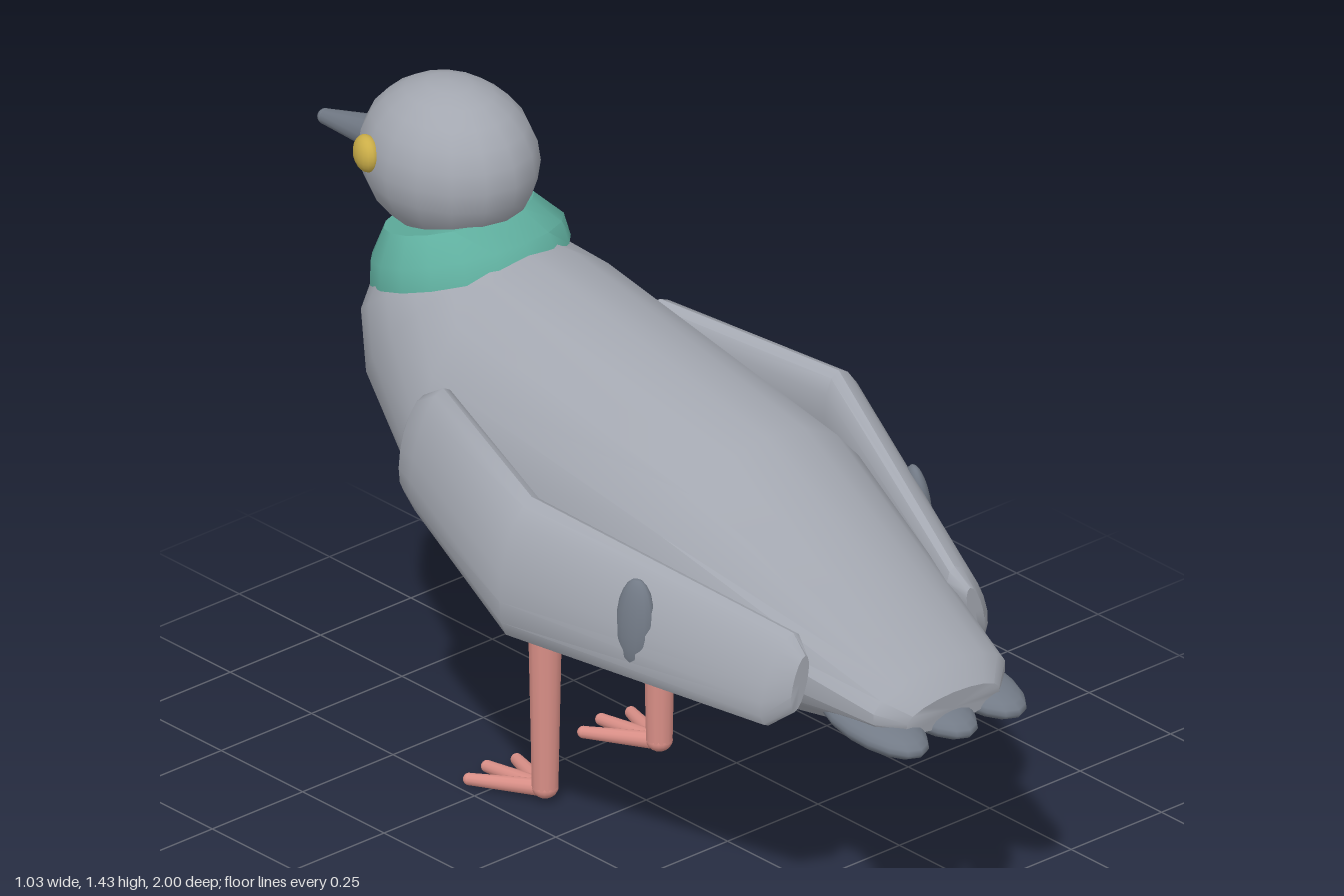
import * as THREE from 'three';
import { toCreasedNormals } from 'three/addons/utils/BufferGeometryUtils.js';

const V = (x, y, z) => new THREE.Vector3(x, y, z);

function material(name, color) {
  const m = new THREE.MeshStandardMaterial({ color });
  m.name = name;
  return m;
}

// Capped loft through elliptical rings { c: centre, u: half height, w: half width }
function loft(rings, sides = 16) {
  const pos = [], idx = [];
  for (const { c, u, w } of rings) {
    for (let j = 0; j < sides; j++) {
      const a = (j / sides) * Math.PI * 2;
      const p = c.clone().addScaledVector(u, Math.cos(a)).addScaledVector(w, Math.sin(a));
      pos.push(p.x, p.y, p.z);
    }
  }
  const last = (rings.length - 1) * sides, start = rings.length * sides, end = start + 1;
  for (const r of [rings[0], rings[rings.length - 1]]) pos.push(r.c.x, r.c.y, r.c.z);
  for (let j = 0; j < sides; j++) {
    const k = (j + 1) % sides;
    for (let i = 0; i < last; i += sides) {
      idx.push(i + j, i + k, i + sides + j, i + k, i + sides + k, i + sides + j);
    }
    idx.push(start, k, j, end, last + j, last + k);
  }
  const g = new THREE.BufferGeometry();
  g.setAttribute('position', new THREE.Float32BufferAttribute(pos, 3));
  g.setIndex(idx);
  return toCreasedNormals(g, 0.75);
}

// Ring on the centre plane: upper point, lower point, half width
const ring = ([tz, ty, bz, by, w]) => ({
  c: V(0, (ty + by) / 2, (tz + bz) / 2),
  u: V(0, (ty - by) / 2, (tz - bz) / 2),
  w: V(w, 0, 0),
});

export function createModel() {
  const model = new THREE.Group();
  model.name = 'bird';
  const grey = material('feather grey', 0xa3a7b0);
  const dark = material('slate grey', 0x727a86);
  const teal = material('neck teal', 0x5fae9e);
  const pink = material('leg pink', 0xd98f87);
  const yellow = material('eye yellow', 0xcbae48);

  const add = (name, geometry, mat, parent = model) => {
    const m = new THREE.Mesh(geometry, mat);
    m.name = name;
    parent.add(m);
    return m;
  };
  const ellipsoid = (name, mat, p, s, parent) => {
    const m = add(name, new THREE.SphereGeometry(1, 16, 12), mat, parent);
    m.position.set(...p);
    m.scale.set(...s);
    return m;
  };
  // Tapered round rod between two points
  const rod = (name, mat, a, b, ra, rb, parent) => {
    const m = add(name, new THREE.CylinderGeometry(rb, ra, a.distanceTo(b), 12), mat, parent);
    m.position.copy(a).lerp(b, 0.5);
    m.quaternion.setFromUnitVectors(V(0, 1, 0), b.clone().sub(a).normalize());
    return m;
  };

  // Body from tail to neck
  add('body', loft([
    [0.945, 0.61, 0.94, 0.535, 0.13],
    [0.9, 0.66, 0.9, 0.523, 0.185],
    [0.37, 0.98, 0.29, 0.405, 0.315],
    [-0.35, 1.12, -0.33, 0.405, 0.325],
    [-0.38, 1.125, -0.7, 0.73, 0.25],
    [-0.42, 1.135, -0.74, 0.89, 0.225],
    [-0.45, 1.13, -0.71, 1.02, 0.19],
  ].map(ring), 18), grey);

  // Neck collar
  add('neckCollar', loft([
    [-0.35, 1.1, -0.73, 0.985, 0.222],
    [-0.37, 1.145, -0.73, 1.04, 0.215],
    [-0.44, 1.18, -0.71, 1.11, 0.17],
  ].map(ring), 18), teal);

  // Head and beak
  ellipsoid('head', grey, [0, 1.262, -0.605], [0.174, 0.17, 0.205]);
  rod('beak', dark, V(0, 1.235, -0.77), V(0, 1.205, -0.985), 0.046, 0.017);
  ellipsoid('beakTip', dark, [0, 1.205, -0.985], [0.017, 0.017, 0.017]);

  // Tail feathers
  for (const x of [-0.135, 0, 0.135]) {
    const f = ellipsoid('tailFeather', dark, [x, 0.55, 0.85], [0.074, 0.036, 0.15]);
    f.rotation.x = 0.12;
  }

  for (const s of [1, -1]) {
    const side = s > 0 ? 'left' : 'right';

    const eye = ellipsoid(side + 'Eye', yellow, [s * 0.157, 1.288, -0.685], [0.026, 0.04, 0.04]);
    eye.rotation.y = s * 0.35;

    // Folded wing from tip through elbow to shoulder
    const wing = new THREE.Group();
    wing.name = side + 'Wing';
    model.add(wing);
    const wingRings = [
      [0.243, 0.635, 0.742, -0.015, 0.06, 0.02],
      [0.258, 0.635, 0.7, -0.035, 0.095, 0.045],
      [0.45, 0.74, 0.12, -0.025, 0.153, 0.06],
      [0.33, 0.812, -0.29, -0.03, 0.133, 0.055],
      [0.325, 0.805, -0.345, -0.02, 0.105, 0.045],
      [0.323, 0.795, -0.373, -0.01, 0.06, 0.02],
    ].map(([x, y, z, ux, uy, w]) => ({ c: V(s * x, y, z), u: V(s * ux, uy, 0), w: V(w, 0, 0) }));
    add(side + 'WingFeathers', loft(wingRings), grey, wing);
    const bar = ellipsoid(side + 'WingBar', dark, [s * 0.391, 0.695, 0.4], [0.026, 0.1, 0.045], wing);
    bar.rotation.set(0, -s * 0.32, s * 0.1);

    // Leg with three forward toes
    const leg = new THREE.Group();
    leg.name = side + 'Leg';
    leg.position.set(s * 0.158, 0, -0.135);
    model.add(leg);
    rod('shank', pink, V(0, 0.035, 0), V(0, 0.43, 0), 0.028, 0.036, leg);
    ellipsoid('hip', pink, [0, 0.43, 0], [0.036, 0.033, 0.036], leg);
    ellipsoid('ankle', pink, [0, 0.035, 0], [0.028, 0.024, 0.028], leg);
    for (const k of [-1, 0, 1]) {
      const tip = V(k * 0.066, 0.014, k ? -0.16 : -0.178);
      rod('toe', pink, V(0, 0.032, 0), tip, 0.019, 0.013, leg);
      ellipsoid('toeTip', pink, tip.toArray(), [0.013, 0.013, 0.013], leg);
    }
  }
  return model;
}
